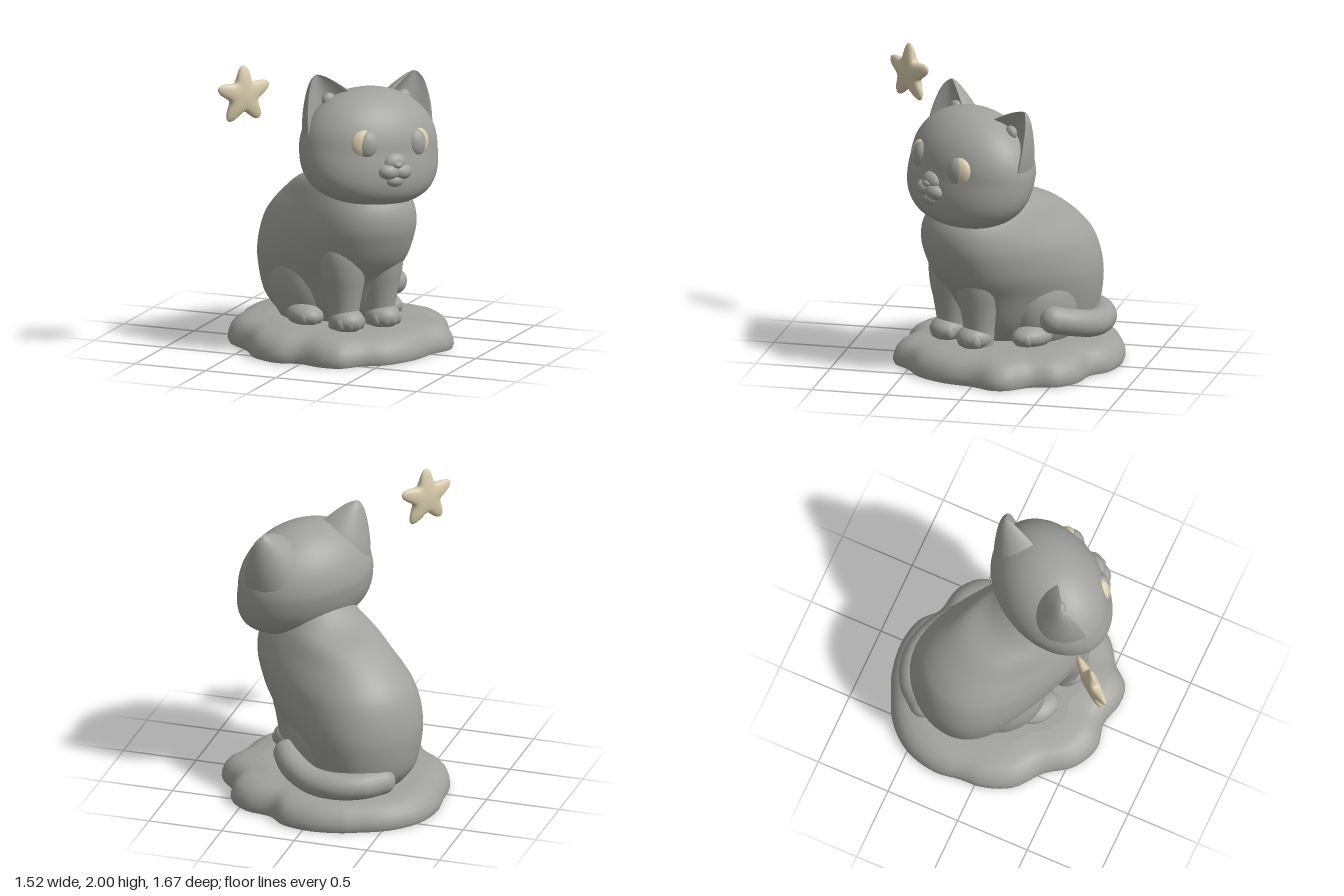
import * as THREE from 'three';

const grey = new THREE.MeshStandardMaterial({ color: 0xa1a19d });
grey.name = 'stoneGrey';
const cream = new THREE.MeshStandardMaterial({ color: 0xdacdad });
cream.name = 'cream';

const YAW = Math.atan2(0.8, 0.6); // the cat faces (0.8, 0, 0.6)

function add(parent, name, geometry, material = grey) {
  const mesh = new THREE.Mesh(geometry, material);
  mesh.name = name;
  parent.add(mesh);
  return mesh;
}

function ball(parent, name, pos, radii, material = grey, segs = 28) {
  const mesh = add(parent, name, new THREE.SphereGeometry(1, segs, Math.round(segs * 0.7)), material);
  mesh.position.set(...pos);
  mesh.scale.set(...radii);
  return mesh;
}

// Closed skin over rings that run counter-clockwise seen from the far end
function loft(rings) {
  const n = rings[0].length, pos = [], idx = [];
  rings.forEach((ring) => ring.forEach((p) => pos.push(p.x, p.y, p.z)));
  for (let i = 0; i < rings.length - 1; i++) {
    for (let j = 0; j < n; j++) {
      const k = (j + 1) % n, a = i * n + j, b = i * n + k;
      idx.push(a, b, b + n, a, b + n, a + n);
    }
  }
  [rings[0], rings[rings.length - 1]].forEach((ring, end) => {
    const c = ring.reduce((s, p) => s.add(p), new THREE.Vector3()).divideScalar(n);
    // own rim vertices keep the end faces crisp
    const start = pos.length / 3;
    ring.forEach((p) => pos.push(p.x, p.y, p.z));
    pos.push(c.x, c.y, c.z);
    for (let j = 0; j < n; j++) {
      const a = start + j, b = start + ((j + 1) % n);
      if (end) idx.push(a, b, start + n); else idx.push(b, a, start + n);
    }
  });
  const g = new THREE.BufferGeometry();
  g.setAttribute('position', new THREE.Float32BufferAttribute(pos, 3));
  g.setIndex(idx);
  g.computeVertexNormals();
  return g;
}

// A few key rows of numbers -> many smoothly interpolated rows
function smoothRows(rows, count) {
  const out = [];
  for (let i = 0; i <= count; i++) {
    const t = (i / count) * (rows.length - 1), k = Math.min(Math.floor(t), rows.length - 2), f = t - k;
    const at = (q) => rows[Math.max(0, Math.min(rows.length - 1, q))];
    out.push(rows[k].map((b, c) => {
      const a = at(k - 1)[c], d = at(k + 1)[c], e = at(k + 2)[c];
      return b + 0.5 * f * (d - a + f * (2 * a - 5 * b + 4 * d - e + f * (3 * (b - d) + e - a)));
    }));
  }
  return out;
}

// Scalloped cloud-like base
function buildBase(root) {
  const outline = [[0, 0.6], [0.17, 0.64], [0.3, 0.62], [0.4, 0.51], [0.55, 0.4], [0.66, 0.2], [0.7, 0],
    [0.76, -0.15], [0.74, -0.25], [0.63, -0.38], [0.58, -0.55], [0.45, -0.66], [0.27, -0.7], [0.15, -0.8],
    [-0.05, -0.84], [-0.25, -0.81], [-0.35, -0.77], [-0.55, -0.67], [-0.7, -0.5], [-0.76, -0.28],
    [-0.74, -0.1], [-0.73, 0.05], [-0.65, 0.24], [-0.48, 0.38], [-0.35, 0.55], [-0.17, 0.63]];
  const curve = new THREE.CatmullRomCurve3(outline.map(([x, z]) => new THREE.Vector3(x, 0, z + 0.1)), true);
  const pts = curve.getPoints(130).slice(0, -1);
  const profile = [[0, 0.985], [0.025, 1], [0.06, 0.995], [0.1, 0.975], [0.135, 0.935], [0.16, 0.88],
    [0.177, 0.8], [0.186, 0.65]];
  add(root, 'base', loft(profile.map(([y, s]) => pts.map((p) => new THREE.Vector3(p.x * s, y, p.z * s - 0.1)))));
}

// Tail curled round the back, resting on the base
function buildTail(root) {
  const path = [[0.23, 0.355, -0.44], [0.155, 0.325, -0.55], [0, 0.285, -0.65], [-0.17, 0.275, -0.675],
    [-0.33, 0.275, -0.62], [-0.44, 0.275, -0.5]];
  const curve = new THREE.CatmullRomCurve3(path.map((p) => new THREE.Vector3(...p)));
  add(root, 'tail', new THREE.TubeGeometry(curve, 48, 0.09, 20));
  ball(root, 'tailTip', path[0], [0.09, 0.09, 0.09]);
  ball(root, 'tailRoot', path[5], [0.09, 0.09, 0.09]);
}

// Torso: each section joins a back circle and a chest circle
function buildBody(cat) {
  const rows = [ // y, back centre, back radius, chest centre, chest radius
    [0.18, -0.28, 0.32, -0.02, 0.2], [0.3, -0.28, 0.405, 0.02, 0.25], [0.5, -0.265, 0.455, 0.09, 0.295],
    [0.65, -0.255, 0.457, 0.15, 0.35], [0.8, -0.25, 0.42, 0.185, 0.382], [0.9, -0.235, 0.37, 0.205, 0.385],
    [1.0, -0.19, 0.31, 0.215, 0.365], [1.1, -0.07, 0.28, 0.22, 0.31], [1.18, 0.1, 0.255, 0.23, 0.25],
    [1.3, 0.2, 0.2, 0.25, 0.2]];
  const rings = smoothRows(rows, 45).map(([y, cB, rB, cF, rF]) => Array.from({ length: 56 }, (_, j) => {
    const t = (j / 56) * Math.PI * 2;
    const w = THREE.MathUtils.smootherstep(Math.cos(t), -1, 1);
    const r = rB + (rF - rB) * w;
    return new THREE.Vector3(0.072 + r * Math.sin(t), y, cB + (cF - cB) * w + r * Math.cos(t));
  }));
  add(cat, 'body', loft(rings));
}

function buildLegs(cat) {
  const legProfile = smoothRows([[0.098, 0.19], [0.103, 0.3], [0.124, 0.43], [0.152, 0.58], [0.15, 0.72], [0.08, 0.88]], 25)
    .map(([r, y]) => new THREE.Vector2(r, y));
  for (const s of [-1, 1]) {
    // front leg and paw
    const x = 0.035 + s * 0.137;
    const leg = add(cat, 'frontLeg', new THREE.LatheGeometry(legProfile, 28));
    leg.position.set(x, 0, 0.288);
    ball(cat, 'frontPaw', [x, 0.245, 0.325], [0.114, 0.085, 0.125]);
    for (const i of [-1.5, -0.5, 0.5, 1.5]) {
      ball(cat, 'frontToe', [x + i * 0.05, 0.235, 0.408 - 0.016 * i * i], [0.034, 0.048, 0.042], grey, 16);
    }
    // haunch and hind foot
    ball(cat, 'haunch', [0.072 + s * 0.21, 0.42, -0.17], [0.2, 0.33, 0.27]);
    const hx = 0.07 + s * 0.3;
    ball(cat, 'hindFoot', [hx, 0.235, 0], [0.11, 0.078, 0.15]);
    for (const i of [-1, 0, 1]) {
      ball(cat, 'hindToe', [hx + i * 0.05, 0.23, 0.105 - 0.022 * i * i], [0.04, 0.048, 0.042], grey, 16);
    }
  }
}

// Thick pointed ear with a hollow front
function earGeometry(s) {
  const rows = [ // centre x, y, front z, half width, width tilt, depth
    [0.245, 0.06, 0.02, 0.215, -0.11, 0.28], [0.28, 0.19, 0.005, 0.195, -0.09, 0.235],
    [0.32, 0.29, -0.02, 0.15, -0.062, 0.172], [0.352, 0.37, -0.048, 0.098, -0.035, 0.108],
    [0.369, 0.42, -0.07, 0.054, -0.015, 0.058], [0.376, 0.445, -0.09, 0.012, -0.003, 0.014]];
  return loft(smoothRows(rows, 20).map(([x, y, z, w, tilt, d]) => Array.from({ length: 36 }, (_, j) => {
    const t = (j / 36) * Math.PI * 2, u = Math.sin(t), v = Math.cos(t);
    const depth = v < 0 ? v * d : (0.3 * v - 0.75 * v * v) * d;
    return new THREE.Vector3(s * x + w * u, y + s * tilt * u, z + depth);
  })));
}

function buildHead(cat) {
  const head = new THREE.Group();
  head.name = 'head';
  head.position.set(0.095, 1.41, 0.272);
  head.rotation.z = -0.08;
  cat.add(head);

  // skull: full cheeks, jaw set forward and down, rounder crown
  const skull = new THREE.SphereGeometry(1, 56, 40);
  const p = skull.attributes.position;
  for (let i = 0; i < p.count; i++) {
    const y = p.getY(i), z = p.getZ(i), low = Math.max(-y, 0), n = y < 0 ? 2.7 : 2.1;
    const round = Math.sqrt(Math.max(1 - y * y, 1e-8));
    const full = Math.pow(Math.max(1 - Math.abs(y) ** n, 0), 1 / n) / round;
    const wide = full * (1 - 0.06 * y);
    p.setXYZ(i, p.getX(i) * 0.484 * wide, y * 0.37 - low * (0.01 + 0.04 * z), z * 0.352 * wide + 0.07 * low);
  }
  skull.computeVertexNormals();
  add(head, 'skull', skull);

  for (const s of [-1, 1]) {
    add(head, 'ear', earGeometry(s));
    ball(head, 'earTuft', [s * 0.285, 0.28, -0.065], [0.05, 0.05, 0.035], grey, 16);
    // eye: rounded cream ball with a large grey pupil set towards the nose
    const eye = new THREE.Group();
    eye.name = 'eye';
    eye.position.set(s * 0.206, 0.05, 0.284);
    eye.rotation.set(-0.05, s * 0.3, 0, 'YXZ');
    head.add(eye);
    ball(eye, 'eyeball', [0, 0, 0], [0.09, 0.096, 0.05], cream);
    ball(eye, 'pupil', [-s * 0.019, 0, 0.003], [0.074, 0.093, 0.055], grey);
    ball(head, 'muzzlePuff', [s * 0.045, -0.122, 0.355], [0.08, 0.055, 0.062]);
  }
  ball(head, 'noseBridge', [0, -0.065, 0.345], [0.085, 0.065, 0.055]);
  ball(head, 'nose', [0, -0.072, 0.395], [0.034, 0.022, 0.02], grey, 16);
  ball(head, 'chin', [0, -0.18, 0.345], [0.075, 0.05, 0.06]);
}

// Soft puffed five-pointed star
function buildStar(cat) {
  const g = new THREE.SphereGeometry(1, 80, 28);
  g.rotateX(Math.PI / 2);
  const p = g.attributes.position;
  for (let i = 0; i < p.count; i++) {
    const x = p.getX(i), y = p.getY(i), a = Math.atan2(x, y), rim = x * x + y * y;
    const r = 0.152 + rim * (0.046 * Math.cos(5 * a) + 0.004 * Math.cos(10 * a));
    p.setXYZ(i, x * r, y * r, p.getZ(i) * 0.044);
  }
  g.computeVertexNormals();
  add(cat, 'star', g, cream).position.set(-0.759, 1.798, 0.113);
}

export function createModel() {
  const root = new THREE.Group();
  root.name = 'sittingCatWithStar';
  buildBase(root);
  buildTail(root);
  const cat = new THREE.Group();
  cat.name = 'cat';
  cat.rotation.y = YAW;
  root.add(cat);
  buildBody(cat);
  buildLegs(cat);
  buildHead(cat);
  buildStar(cat);
  return root;
}
